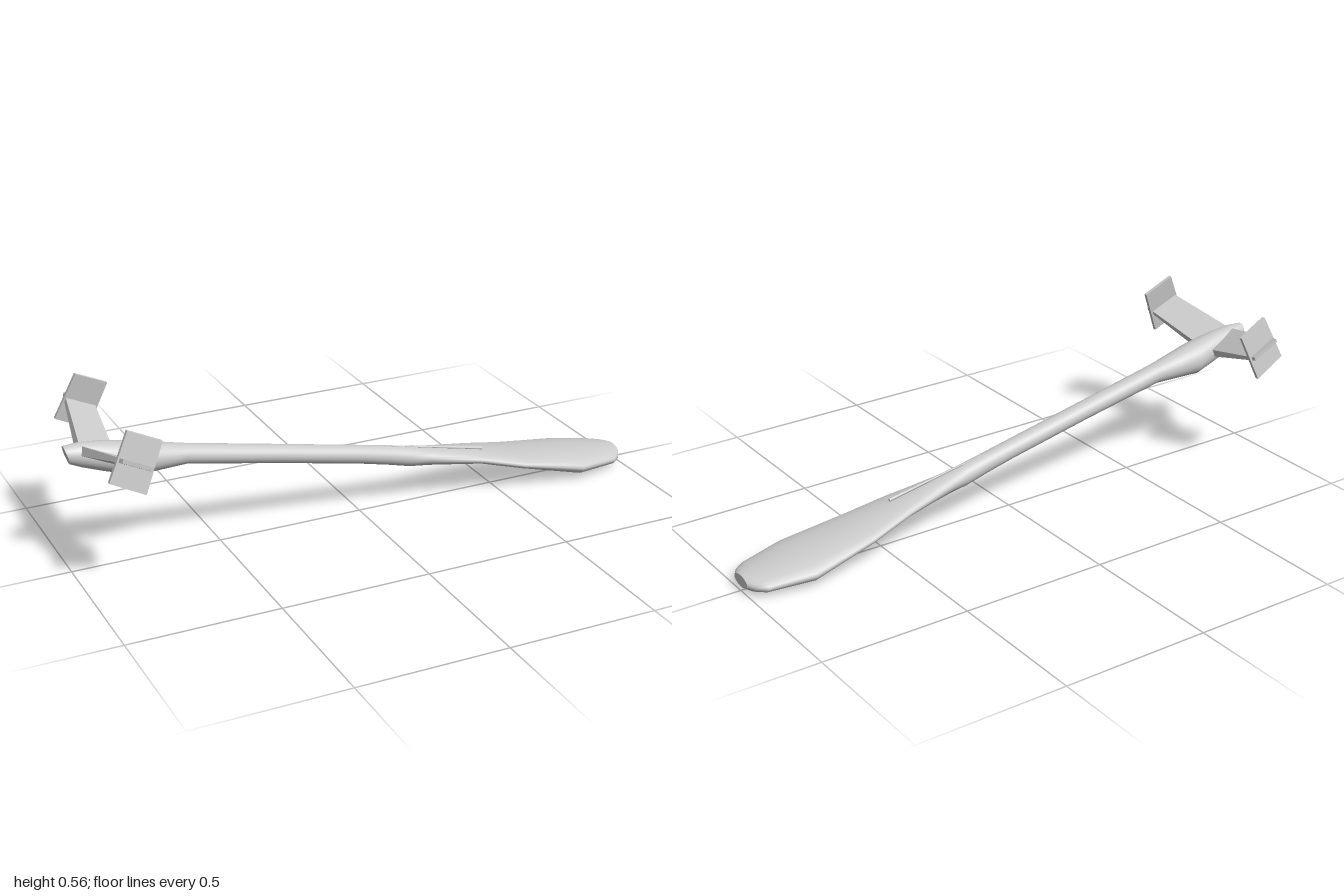
import * as THREE from 'three';

const material = new THREE.MeshStandardMaterial({ color: 0xcccccc, side: THREE.DoubleSide });

// Skin a list of closed rings (arrays of Vector3) and close both ends.
function loft(rings, name, flat = false) {
  const n = rings[0].length;
  const pos = [], index = [];
  rings.forEach(r => r.forEach(p => pos.push(p.x, p.y, p.z)));
  for (let i = 0; i < rings.length - 1; i++) {
    for (let j = 0; j < n; j++) {
      const a = i * n + j, b = i * n + (j + 1) % n;
      index.push(a, b, a + n, b, b + n, a + n);
    }
  }
  // end caps use their own vertices so the rim stays sharp
  [[rings[0], true], [rings[rings.length - 1], false]].forEach(([ring, first]) => {
    const start = pos.length / 3;
    ring.forEach(p => pos.push(p.x, p.y, p.z));
    for (let j = 1; j < n - 1; j++) {
      if (first) index.push(start, start + j + 1, start + j);
      else index.push(start, start + j, start + j + 1);
    }
  });
  let geo = new THREE.BufferGeometry();
  geo.setAttribute('position', new THREE.Float32BufferAttribute(pos, 3));
  geo.setIndex(index);
  if (flat) geo = geo.toNonIndexed();
  geo.computeVertexNormals();
  const mesh = new THREE.Mesh(geo, material);
  mesh.name = name;
  return mesh;
}

// Oval section: lean shifts the top along x against the bottom.
function oval([x, top, bottom, half, lean = 0], n = 28) {
  const mid = (top + bottom) / 2, h = (top - bottom) / 2;
  return Array.from({ length: n }, (_, j) => {
    const a = -j / n * Math.PI * 2;
    const s = Math.sin(a);
    return new THREE.Vector3(x + lean * s, mid + h * s, half * Math.cos(a));
  });
}

export function createModel() {
  const group = new THREE.Group();

  // Grip, shaft and blade: x, top, bottom, half width, lean
  const sections = [
    [-0.992, 0.432, 0.372, 0.027, -0.008],
    [-0.95, 0.435, 0.356, 0.036],
    [-0.88, 0.427, 0.33, 0.047],
    [-0.78, 0.408, 0.296, 0.057],
    [-0.7, 0.388, 0.298, 0.048],
    [-0.61, 0.366, 0.3, 0.036],
    [-0.3, 0.302, 0.24, 0.034],
    [0, 0.24, 0.177, 0.033],
    [0.1, 0.219, 0.153, 0.034],
    [0.18, 0.202, 0.132, 0.037],
    [0.25, 0.187, 0.124, 0.043],
    [0.43, 0.15, 0.104, 0.076],
    [0.58, 0.117, 0.064, 0.104],
    [0.8, 0.088, 0.004, 0.128],
    [0.95, 0.064, 0.003, 0.094],
    [0.98, 0.06, 0.008, 0.07],
    [0.998, 0.056, 0.016, 0.042]
  ];
  group.add(loft(sections.map(s => oval(s)), 'paddleBody'));

  // Slim ridge running down onto the blade
  const from = new THREE.Vector3(0.1, 0.219, 0), to = new THREE.Vector3(0.455, 0.148, 0.014);
  const ridge = new THREE.Mesh(
    new THREE.CylinderGeometry(0.006, 0.001, from.distanceTo(to), 8), material);
  ridge.position.copy(from).add(to).multiplyScalar(0.5);
  ridge.quaternion.setFromUnitVectors(new THREE.Vector3(0, 1, 0), to.clone().sub(from).normalize());
  ridge.name = 'bladeRidge';
  group.add(ridge);

  // Tail wings with end plates, mirrored left and right
  const wingRing = (z, xb, yb, xf, yf, t, side) => [
    [xb, yb], [xf, yf], [xf - t * 0.4, yf - t], [xb - t * 0.4, yb - t]
  ].map(([x, y]) => new THREE.Vector3(x, y, z * side));
  const plateRing = (offset, side) => [
    [-0.875, 0.56, 0.247], [-0.77, 0.51, 0.254], [-0.835, 0.356, 0.275], [-0.945, 0.412, 0.267]
  ].map(([x, y, z]) => new THREE.Vector3(x, y, (z + offset) * side));

  for (const side of [1, -1]) {
    const tail = new THREE.Group();
    tail.name = side > 0 ? 'frontTailFin' : 'rearTailFin';
    const wing = [
      wingRing(0, -0.948, 0.426, -0.835, 0.373, 0.03, side),
      wingRing(0.286, -0.902, 0.488, -0.808, 0.442, 0.012, side)
    ];
    const plate = [plateRing(-0.006, side), plateRing(0.006, side)];
    // ring order follows the mirroring so faces point outward
    if (side > 0) [wing, plate].forEach(l => l.forEach(r => r.reverse()));
    tail.add(loft(wing, 'wing', true), loft(plate, 'endPlate', true));
    group.add(tail);
  }
  return group;
}
